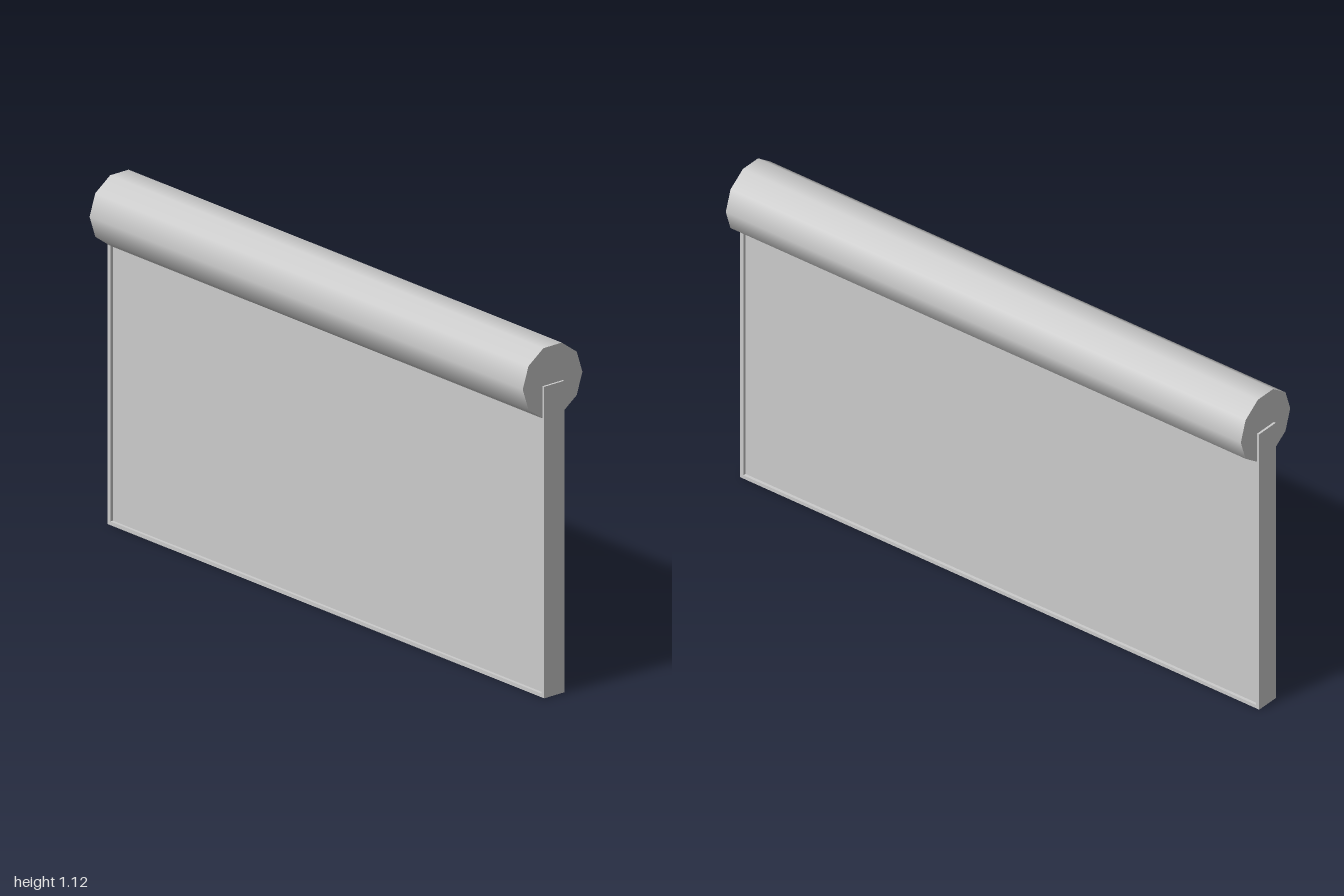
import * as THREE from 'three';

const material = new THREE.MeshStandardMaterial({ color: 0xcccccc });

export function createModel() {
  const model = new THREE.Group();
  const add = (name, geometry, x, y, z) => {
    const mesh = new THREE.Mesh(geometry, material);
    mesh.name = name;
    mesh.position.set(x, y, z);
    model.add(mesh);
  };

  const height = 1, depth = 0.08, rim = 0.012, recess = 0.01;

  // Slim frame: two end posts joined by a bottom bar
  for (const side of [1, -1]) {
    add(side > 0 ? 'frontPost' : 'backPost',
      new THREE.BoxGeometry(depth, height, rim), 0, height / 2, side * (1 - rim / 2));
  }
  add('bottomBar', new THREE.BoxGeometry(depth, rim, 2 - 2 * rim), 0, rim / 2, 0);

  // Infill panel, set back slightly from both faces of the frame
  add('panel', new THREE.BoxGeometry(depth - 2 * recess, height - rim, 2 - 2 * rim),
    0, (height + rim) / 2, 0);

  // Ten-sided handrail along the top, corners pointing sideways
  const rail = new THREE.CylinderGeometry(0.119, 0.119, 1.985, 10, 1, false, Math.PI / 2);
  rail.rotateX(Math.PI / 2);
  add('handrail', rail, 0, 1.008, 0);

  return model;
}
